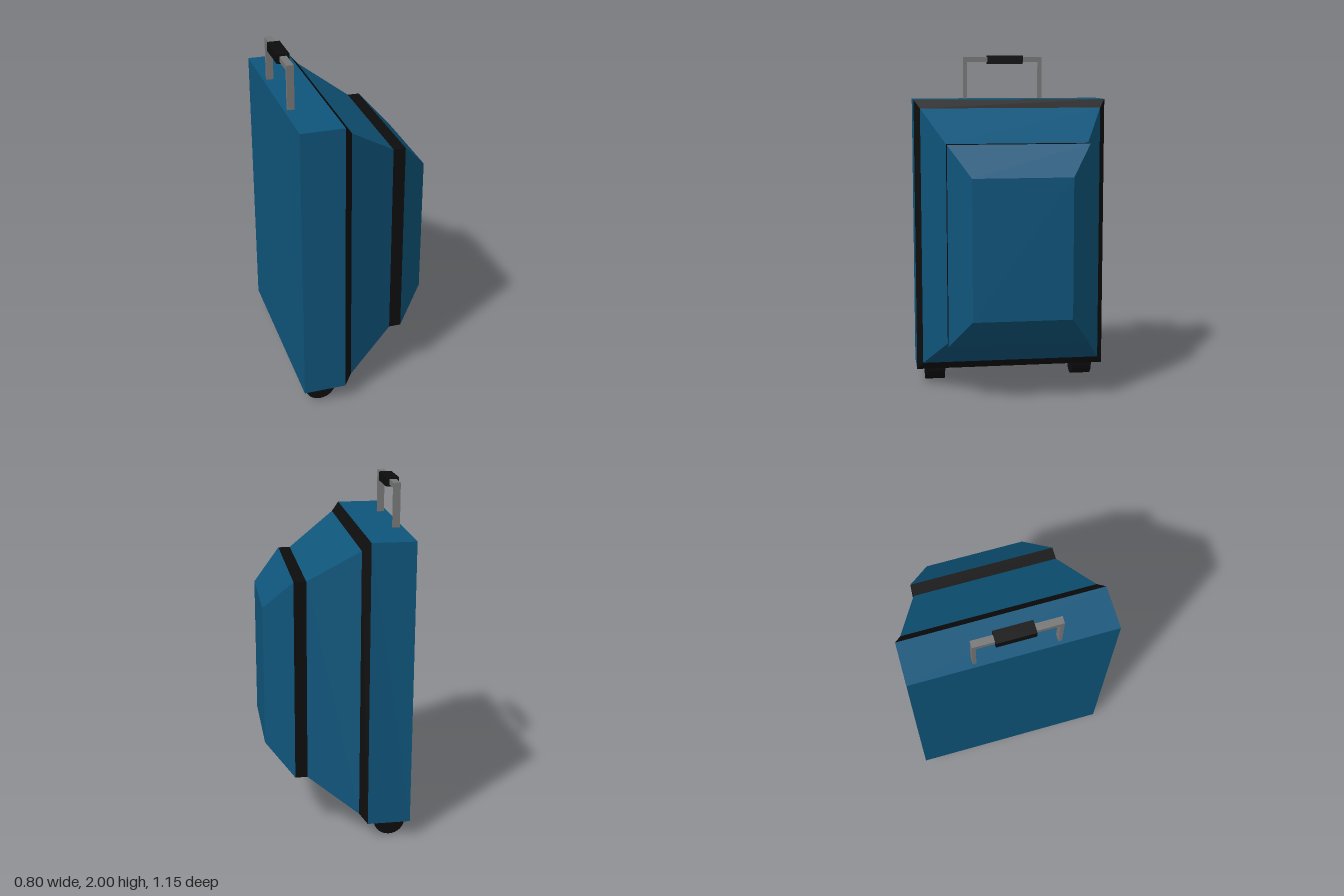
import * as THREE from 'three';

const blue = new THREE.MeshStandardMaterial({ color: 0x0f557b, flatShading: true });
const black = new THREE.MeshStandardMaterial({ color: 0x0d0d0d, flatShading: true });
const rubber = new THREE.MeshStandardMaterial({ color: 0x0d0d0d });
const metal = new THREE.MeshStandardMaterial({ color: 0x777777 });

// Rectangular cross-sections along the depth: x, half width, bottom, top
const sections = [
  [-0.4, 0.575, 0.1, 1.74],
  [-0.155, 0.575, 0.1, 1.74],
  [-0.11, 0.54, 0.15, 1.69],
  [0.17, 0.41, 0.34, 1.5],
  [0.24, 0.41, 0.34, 1.5],
  [0.4, 0.285, 0.515, 1.325],
];

const corners = ([x, w, y0, y1]) => [[x, y0, w], [x, y0, -w], [x, y1, -w], [x, y1, w]];

// Four sloped walls between two sections, closed at either end on request
function loft(from, to, capBack, capFront) {
  const a = corners(from), b = corners(to), points = [];
  const quad = (p, q, r, s) => points.push(...p, ...q, ...r, ...p, ...r, ...s);
  for (let i = 0; i < 4; i++) {
    const j = (i + 1) % 4;
    quad(a[i], a[j], b[j], b[i]);
  }
  if (capBack) quad(a[3], a[2], a[1], a[0]);
  if (capFront) quad(b[0], b[1], b[2], b[3]);
  const geometry = new THREE.BufferGeometry();
  geometry.setAttribute('position', new THREE.Float32BufferAttribute(points, 3));
  geometry.computeVertexNormals();
  return geometry;
}

function add(parent, name, geometry, material, x = 0, y = 0, z = 0) {
  const mesh = new THREE.Mesh(geometry, material);
  mesh.name = name;
  mesh.position.set(x, y, z);
  parent.add(mesh);
  return mesh;
}

export function createModel() {
  const suitcase = new THREE.Group();
  suitcase.name = 'suitcase';

  // Shell panels alternating with dark zip bands
  const names = ['mainCase', 'mainZipBand', 'middleCase', 'pocketZipBand', 'frontPocket'];
  names.forEach((name, i) => {
    const geometry = loft(sections[i], sections[i + 1], i === 0, i === names.length - 1);
    add(suitcase, name, geometry, i % 2 ? black : blue);
  });

  // Wheels, half sunk into the base
  for (const side of [1, -1]) {
    const wheel = new THREE.CylinderGeometry(0.09, 0.09, 0.12, 32).rotateX(Math.PI / 2);
    add(suitcase, side > 0 ? 'leftWheel' : 'rightWheel', wheel, rubber, -0.29, 0.09, side * 0.46);
  }

  // Pull handle: two posts, a crossbar and a grip
  const handle = new THREE.Group();
  handle.name = 'pullHandle';
  for (const z of [0.25, -0.21]) {
    add(handle, 'handlePost', new THREE.BoxGeometry(0.04, 0.27, 0.02), metal, -0.36, 1.855, z);
  }
  add(handle, 'handleCrossbar', new THREE.BoxGeometry(0.04, 0.03, 0.48), metal, -0.36, 1.975, 0.02);
  add(handle, 'handleGrip', new THREE.BoxGeometry(0.072, 0.052, 0.214), black, -0.359, 1.974, 0.006);
  suitcase.add(handle);

  return suitcase;
}
